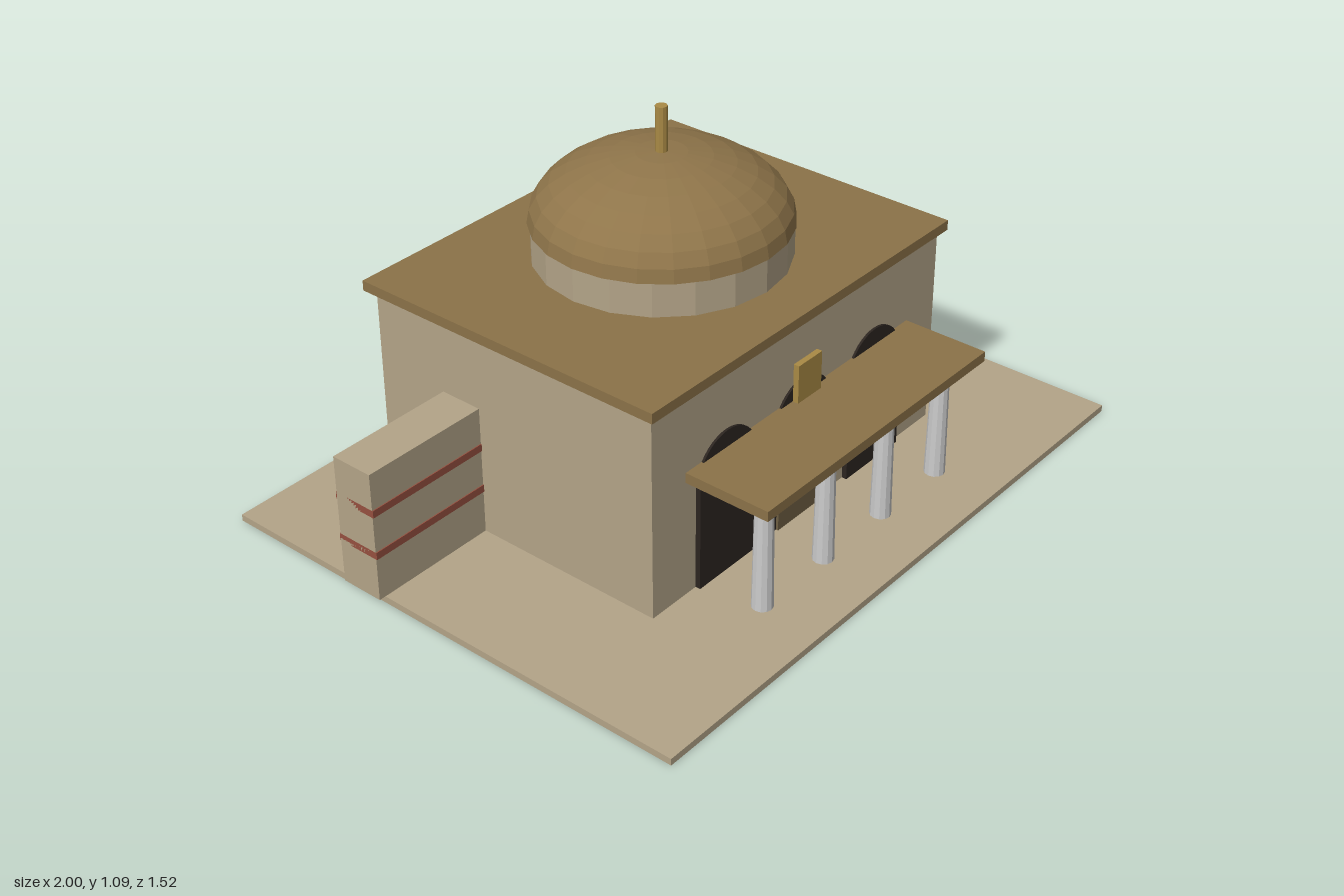
import * as THREE from 'three';

const mat = (color, extra = {}) => new THREE.MeshStandardMaterial({ color, ...extra });
const stone = mat(0xb3a488);
const roofBrown = mat(0x8b7248);
const gold = mat(0xa98a45);
const dark = mat(0x2c2520);
const doorBrown = mat(0x6f5f43);
const red = mat(0x96503f);
const drumStone = mat(0xb3a488, { flatShading: true });
const domeBrown = mat(0x8f754a, { flatShading: true });
const goldFlat = mat(0xa98a45, { flatShading: true });
const columnGrey = mat(0xcccccc, { flatShading: true });

export function createModel() {
  const model = new THREE.Group();
  model.name = 'domedHall';

  const add = (name, geometry, material, x = 0, y = 0, z = 0) => {
    const mesh = new THREE.Mesh(geometry, material);
    mesh.name = name;
    mesh.position.set(x, y, z);
    model.add(mesh);
    return mesh;
  };
  // Box given by its extents on each axis
  const box = (name, material, x0, x1, y0, y1, z0, z1) =>
    add(name, new THREE.BoxGeometry(x1 - x0, y1 - y0, z1 - z0), material,
      (x0 + x1) / 2, (y0 + y1) / 2, (z0 + z1) / 2);

  // Ground slab, hall and roof slab
  box('groundSlab', stone, -0.98, 0.98, 0, 0.02, -0.76, 0.76);
  box('hall', stone, -0.61, 0.61, 0.02, 0.63, -0.56, 0.39);
  box('roofSlab', roofBrown, -0.63, 0.63, 0.63, 0.66, -0.59, 0.41);

  // Drum, dome and finial
  const domeZ = -0.09;
  add('drum', new THREE.CylinderGeometry(0.357, 0.357, 0.1, 20), drumStone, 0, 0.71, domeZ);
  const dome = add('dome', new THREE.SphereGeometry(0.362, 24, 8, 0, Math.PI * 2, 0, Math.PI / 2),
    domeBrown, 0, 0.76, domeZ);
  dome.scale.y = 0.2 / 0.362;
  const underside = add('domeUnderside', new THREE.CircleGeometry(0.362, 24), domeBrown, 0, 0.76, domeZ);
  underside.rotation.x = Math.PI / 2;
  add('finial', new THREE.CylinderGeometry(0.017, 0.017, 0.14, 10), goldFlat, 0, 1.02, domeZ);

  // Side walls with red bands
  for (const s of [-1, 1]) {
    const side = s > 0 ? 'left' : 'right';
    const span = s > 0 ? [0.61, 1] : [-1, -0.61];
    box(side + 'Wall', stone, ...span, 0.02, 0.41, -0.33, -0.2);
    for (const y of [0.16, 0.29])
      box(side + 'WallBand', red, ...span, y - 0.011, y + 0.011, -0.333, -0.197);
  }

  // Arched openings: rectangular panel plus half-round head
  for (const x of [-0.32, 0, 0.32]) {
    box('archPanel', dark, x - 0.12, x + 0.12, 0.02, 0.33, 0.385, x ? 0.405 : 0.398);
    const head = add('archHead',
      new THREE.CylinderGeometry(0.12, 0.12, 0.012, 20, 1, false, Math.PI / 2, Math.PI),
      dark, x, 0.33, 0.391);
    head.rotation.x = Math.PI / 2;
  }
  box('door', doorBrown, -0.11, 0.11, 0.02, 0.32, 0.39, 0.405);

  // Porch canopy on four columns, with a plaque above
  box('canopy', roofBrown, -0.48, 0.48, 0.37, 0.4, 0.39, 0.65);
  for (const x of [-0.39, -0.13, 0.13, 0.39])
    add('column', new THREE.CylinderGeometry(0.025, 0.03, 0.35, 12), columnGrey, x, 0.195, 0.57);
  box('plaque', gold, -0.05, 0.05, 0.4, 0.515, 0.398, 0.415);

  return model;
}
